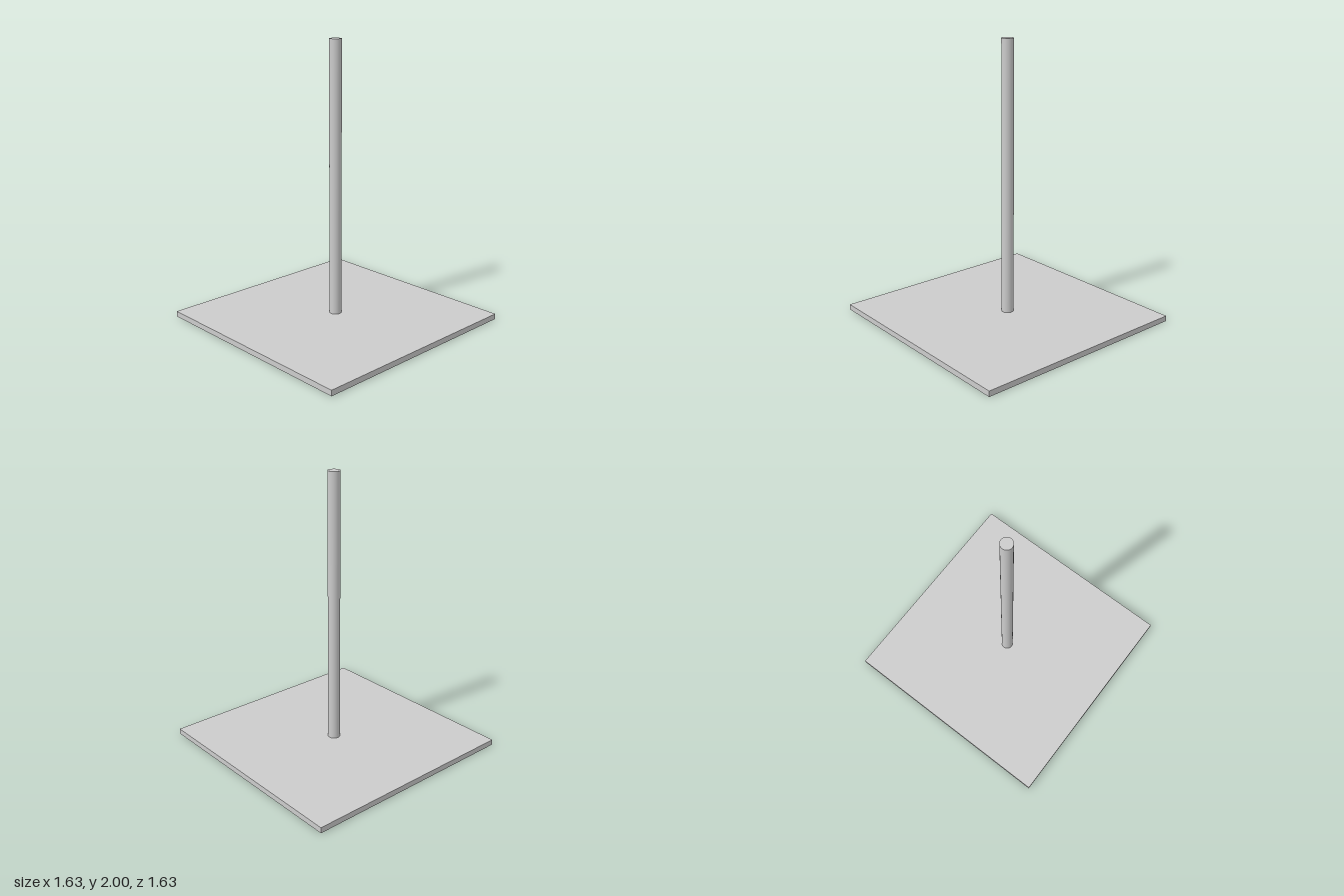
import * as THREE from 'three';

export function createModel() {
  const model = new THREE.Group();
  const material = new THREE.MeshStandardMaterial({ color: 0xcccccc });

  const side = 1.626, thickness = 0.04, height = 2, radius = 0.043;

  const addPart = (name, geometry, x, y, z) => {
    const mesh = new THREE.Mesh(geometry, material);
    mesh.name = name;
    mesh.position.set(x, y, z);
    model.add(mesh);
  };

  // Thin square base plate
  addPart('basePlate', new THREE.BoxGeometry(side, thickness, side), 0, thickness / 2, 0);

  // Round post standing on the plate, slightly off centre
  const postHeight = height - thickness;
  addPart('post', new THREE.CylinderGeometry(radius, radius, postHeight, 48),
    -0.01, thickness + postHeight / 2, -0.01);

  return model;
}
